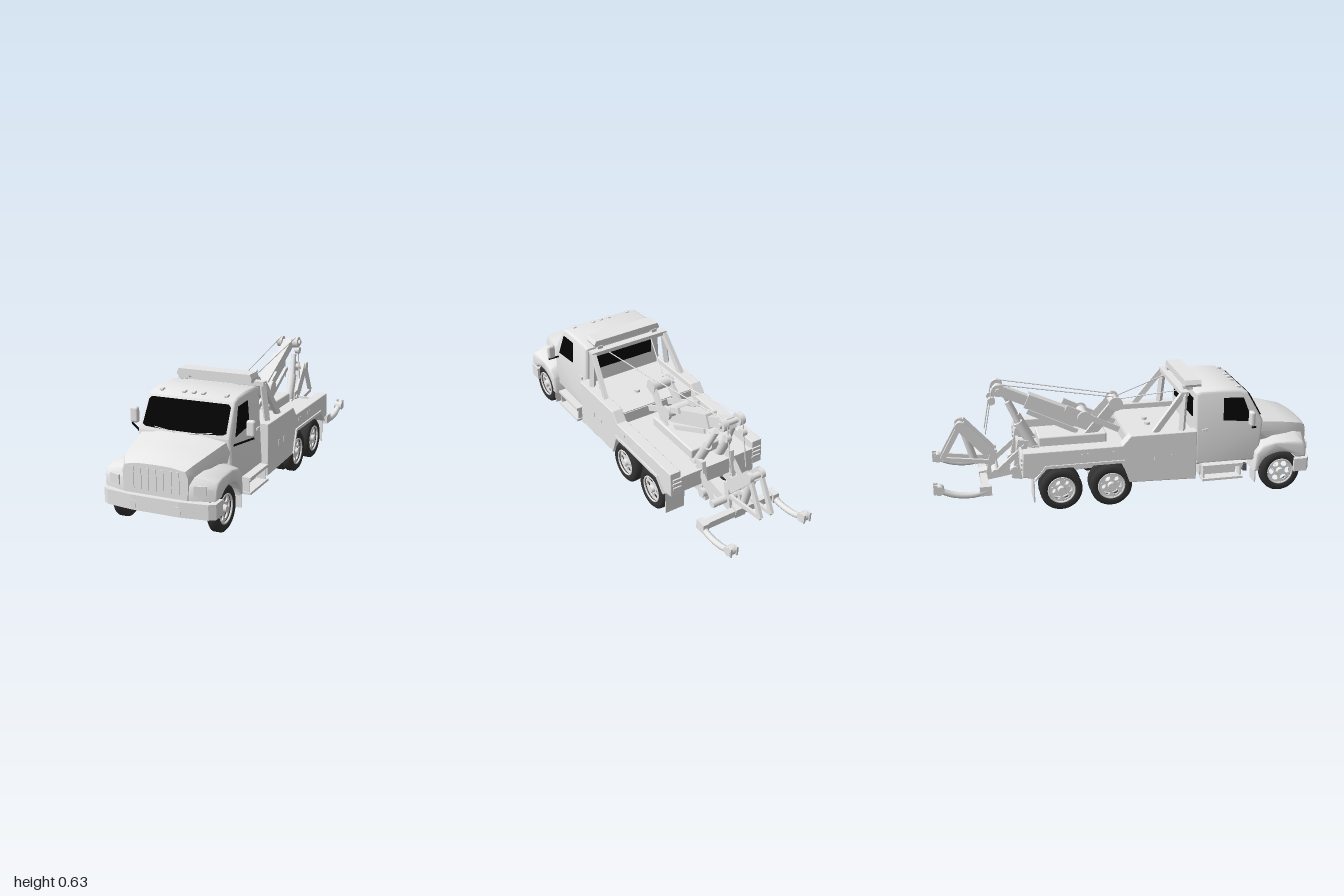
import * as THREE from 'three';
import { toCreasedNormals } from 'three/addons/utils/BufferGeometryUtils.js';
import { RoundedBoxGeometry } from 'three/addons/geometries/RoundedBoxGeometry.js';

export function createModel() {
  const root = new THREE.Group();
  root.name = 'towTruck';
  const material = (name, color) => {
    const m = new THREE.MeshStandardMaterial({ color });
    m.name = name;
    return m;
  };
  const paint = material('light grey', 0xefefef), dark = material('dark grey', 0x606060);
  const rubber = material('tyre grey', 0x333333), glass = material('window black', 0x030303);

  const V = (x, y, z) => new THREE.Vector3(x, y, z);
  const add = (name, geo, mat = paint, x = 0, y = 0, z = 0, parent = root) => {
    const m = new THREE.Mesh(geo, mat);
    m.name = name;
    m.position.set(x, y, z);
    parent.add(m);
    return m;
  };
  const box = (name, w, h, d, x, y, z, mat) => add(name, new THREE.BoxGeometry(w, h, d), mat, x, y, z);
  const soft = (name, w, h, d, x, y, z, r = 0.01) => add(name, new RoundedBoxGeometry(w, h, d, 3, r), paint, x, y, z);
  const both = fn => [1, -1].forEach(fn);
  // square bar between two points
  const beam = (name, a, b, w, h) => {
    const m = add(name, new THREE.BoxGeometry(w, h, a.distanceTo(b)));
    m.position.copy(a).add(b).multiplyScalar(0.5);
    m.lookAt(b);
    return m;
  };
  // round bar between two points
  const rod = (name, a, b, r, mat = paint, r2 = r) => {
    const m = add(name, new THREE.CylinderGeometry(r2, r, a.distanceTo(b), 16), mat);
    m.position.copy(a).add(b).multiplyScalar(0.5);
    m.quaternion.setFromUnitVectors(V(0, 1, 0), b.clone().sub(a).normalize());
    return m;
  };
  // cylinder lying across the truck
  const pin = (name, r, len, x, y, z) => rod(name, V(x - len / 2, y, z), V(x + len / 2, y, z), r);
  const shapeOf = pts => new THREE.Shape(pts.map(p => new THREE.Vector2(...p)));
  // side profile of (z, y) points given a width across x
  const side = (shape, width, bevel = 0) => {
    const g = new THREE.ExtrudeGeometry(shape, { depth: width - 2 * bevel, bevelEnabled: bevel > 0,
      bevelSize: bevel, bevelThickness: bevel, bevelOffset: -bevel, bevelSegments: 3, curveSegments: 20 });
    return g.translate(0, 0, bevel - width / 2).rotateY(-Math.PI / 2);
  };
  const bend = (geo, rule) => {
    const p = geo.attributes.position, v = V(0, 0, 0);
    for (let i = 0; i < p.count; i++) {
      rule(v.fromBufferAttribute(p, i));
      p.setXYZ(i, v.x, v.y, v.z);
    }
    return toCreasedNormals(geo, 0.6);
  };

  // Cab, narrowing towards the roof
  const cabHalf = y => 0.248 - Math.max(0, y - 0.3) * 0.075;
  const cab = side(shapeOf([[0.35, 0.18], [0.7, 0.18], [0.718, 0.4], [0.63, 0.555], [0.59, 0.572], [0.5, 0.578], [0.38, 0.576], [0.35, 0.565]]), 2, 0.014);
  add('cab', bend(cab, v => {
    const edge = 1 - Math.abs(v.x);
    v.x = Math.sign(v.x) * (cabHalf(v.y) - edge);
  }));

  // Hood lofted from half sections, each running from sill to centre line
  const sections = [
    [0.99, [0.16, 0.19, 0.165, 0.29, 0.15, 0.322, 0.08, 0.333, 0, 0.335]],
    [0.955, [0.18, 0.19, 0.182, 0.3, 0.172, 0.343, 0.09, 0.356, 0, 0.359]],
    [0.85, [0.2, 0.2, 0.212, 0.32, 0.197, 0.365, 0.1, 0.381, 0, 0.384]],
    [0.695, [0.2, 0.2, 0.24, 0.34, 0.225, 0.39, 0.12, 0.405, 0, 0.408]]];
  const pos = [], index = [], ring = 9;
  for (const [z, h] of sections) {
    for (let i = 0; i < 5; i++) pos.push(h[2 * i], h[2 * i + 1], z);
    for (let i = 3; i >= 0; i--) pos.push(-h[2 * i], h[2 * i + 1], z);
  }
  for (let s = 0; s < 3; s++) for (let i = 0; i < ring; i++) {
    const a = s * ring + i, b = s * ring + (i + 1) % ring;
    index.push(a, a + ring, b, b, a + ring, b + ring);
  }
  for (let i = 1; i < ring - 1; i++) index.push(0, i, i + 1);
  const hood = new THREE.BufferGeometry();
  hood.setAttribute('position', new THREE.Float32BufferAttribute(pos, 3));
  hood.setIndex(index);
  add('hood', toCreasedNormals(hood, 0.6));

  // Front fenders with wheel arches
  const fender = shapeOf([[0.99, 0.19], [0.99, 0.26], [0.965, 0.3], [0.91, 0.32], [0.78, 0.322], [0.71, 0.3], [0.675, 0.24], [0.665, 0.13], [0.69, 0.13]]);
  fender.absarc(0.82, 0.11, 0.13, Math.PI - 0.15, 0.66, true);
  both(s => {
    const g = side(fender, 0.13, 0.014).translate(s * 0.22, 0, 0);
    add('frontFender', bend(g, v => {
      const out = Math.abs(v.x) - 0.155;
      v.y -= Math.max(0, v.y - 0.2) * out * 2.4;
      if (v.z > 0.8) v.z -= out * 0.3 * (v.z - 0.8) / 0.19;
    }));
    box('headlight', 0.058, 0.046, 0.008, s * 0.215, 0.238, 0.975).rotation.y = s * 0.29;
    box('bumperLamp', 0.03, 0.034, 0.008, s * 0.112, 0.141, 0.998);
    box('frontBracket', 0.028, 0.04, 0.02, s * 0.107, 0.085, 0.674, dark);
    box('frontMudFlap', 0.075, 0.09, 0.006, s * 0.24, 0.11, 0.675);
  });

  // Bumper, swept back at the corners
  const bumper = shapeOf([[-0.284, 0.89], [-0.284, 0.96], [-0.255, 0.98], [-0.12, 0.999], [0.12, 0.999], [0.255, 0.98], [0.284, 0.96], [0.284, 0.89], [0.25, 0.89], [0.25, 0.945], [-0.25, 0.945], [-0.25, 0.89]]);
  const bumperGeo = new THREE.ExtrudeGeometry(bumper, { depth: 0.072, bevelEnabled: false });
  add('frontBumper', bumperGeo.rotateX(Math.PI / 2), paint, 0, 0.182, 0);
  box('bumperBacking', 0.3, 0.06, 0.06, 0, 0.19, 0.94);

  // Grille slots
  for (let i = -3; i <= 3; i++) box('grilleSlot', 0.014, 0.102, 0.008, i * 0.038, 0.264, 0.99);

  // Windows
  const pane = shapeOf([[-0.216, -0.062], [-0.2, -0.072], [-0.1, -0.077], [0.1, -0.077], [0.2, -0.072], [0.216, -0.062], [0.212, 0.062], [0.2, 0.075], [-0.2, 0.075], [-0.212, 0.062]]);
  const paneGeo = new THREE.ExtrudeGeometry(pane, { depth: 0.006, bevelEnabled: false });
  add('windshield', paneGeo, glass, 0, 0.478, 0.6755).rotation.x = -0.517;
  box('rearWindow', 0.36, 0.1, 0.006, 0, 0.48, 0.348, glass);
  const sidePane = shapeOf([[0.5, 0.415], [0.66, 0.4], [0.648, 0.425], [0.607, 0.53], [0.5, 0.535]]);
  both(s => {
    const g = side(sidePane, 0.006);
    add('sideWindow', bend(g, v => { v.x += s * cabHalf(v.y); }), glass);
    rod('wiper', V(s * 0.04, 0.409, 0.728), V(s * 0.15, 0.421, 0.716), 0.002);
    // Mirrors on their arms
    soft('mirror', 0.044, 0.08, 0.028, s * 0.307, 0.44, 0.63, 0.012);
    rod('mirrorArm', V(s * 0.235, 0.362, 0.68), V(s * 0.322, 0.396, 0.63), 0.005, glass);
    box('doorHandle', 0.008, 0.012, 0.03, s * 0.244, 0.37, 0.4);
    // Steps and tanks below the doors
    box('upperStep', 0.08, 0.015, 0.22, s * 0.25, 0.18, 0.49);
    box('lowerStep', 0.06, 0.012, 0.22, s * 0.262, 0.108, 0.49);
    box('sideTank', 0.1, 0.07, 0.2, s * 0.18, 0.145, 0.48);
    both(t => box('stepHanger', 0.05, 0.08, 0.008, s * 0.255, 0.142, 0.49 + t * 0.1));
  });
  for (const x of [-0.17, -0.05, 0, 0.05, 0.17]) soft('roofLamp', 0.02, 0.012, 0.026, x, 0.573, 0.595, 0.004);

  // Light bar on a frame behind the cab
  const bar = shapeOf([[-0.2, 0], [0.2, 0], [0.204, 0.012], [0.193, 0.034], [-0.193, 0.034], [-0.204, 0.012]]);
  add('lightBar', new THREE.ExtrudeGeometry(bar, { depth: 0.085, bevelEnabled: false }), paint, 0, 0.595, 0.3);
  box('frameTop', 0.47, 0.022, 0.04, 0, 0.57, 0.29);
  both(s => {
    box('lightBarBracket', 0.03, 0.022, 0.05, s * 0.17, 0.587, 0.32);
    beam('framePost', V(s * 0.222, 0.57, 0.29), V(s * 0.24, 0.37, 0.275), 0.026, 0.026);
    beam('frameBrace', V(s * 0.222, 0.565, 0.28), V(s * 0.24, 0.375, 0.13), 0.022, 0.03);
  });

  // Service body sides, deck and tail
  const bodySide = shapeOf([[0.348, 0.115], [0.348, 0.38], [0, 0.38], [-0.045, 0.33], [-0.55, 0.33], [-0.558, 0.2], [-0.5, 0.19],
    [-0.47, 0.215], [-0.44, 0.24], [-0.045, 0.24], [-0.015, 0.19], [0, 0.125]]);
  const lip = shapeOf([[0.005, 0.13], [-0.035, 0.255], [-0.44, 0.255], [-0.5, 0.18], [-0.49, 0.18], [-0.435, 0.24], [-0.045, 0.24], [-0.008, 0.13]]);
  both(s => {
    add('bodySide', side(bodySide, 0.06, 0.004), paint, s * 0.247);
    add('wheelArchLip', side(lip, 0.12), paint, s * 0.225);
    both(t => box('lockerHandle', 0.008, 0.028, 0.022, s * 0.275, 0.25, 0.17 + t * 0.035));
    for (const z of [-0.1, -0.24]) box('markerPlate', 0.008, 0.018, 0.04, s * 0.275, 0.295, z);
    for (const y of [0.24, 0.265, 0.29]) box('tailLamp', 0.05, 0.014, 0.008, s * 0.24, y, -0.558);
    box('rearMudFlap', 0.11, 0.16, 0.006, s * 0.215, 0.135, -0.5);
    rod('deckFitting', V(s * 0.04, 0.345, 0.14), V(s * 0.04, 0.363, 0.14), 0.016);
  });
  box('frontDeck', 0.45, 0.045, 0.35, 0, 0.327, 0.174);
  box('rearDeck', 0.45, 0.03, 0.55, 0, 0.27, -0.275);
  box('deckStep', 0.45, 0.07, 0.012, 0, 0.31, 0.0);
  box('tailBoard', 0.44, 0.09, 0.014, 0, 0.25, -0.55);
  box('bodyBulkhead', 0.45, 0.2, 0.012, 0, 0.22, 0.34);

  // Chassis, axles and drive line
  both(s => {
    box('chassisRail', 0.03, 0.055, 1.5, s * 0.085, 0.175, 0.18);
    for (const z of [0.82, -0.1, -0.36]) box('leafSpring', 0.03, 0.014, 0.2, s * 0.12, 0.13, z);
    rod('exhaust', V(s * 0.13, 0.14, 0.38), V(s * 0.13, 0.14, 0.06), 0.025);
  });
  for (const z of [0.65, 0.3, 0.05, -0.23, -0.5]) box('crossMember', 0.17, 0.04, 0.03, 0, 0.175, z);
  soft('engine', 0.13, 0.13, 0.3, 0, 0.17, 0.78, 0.02);
  rod('gearbox', V(0, 0.16, 0.64), V(0, 0.155, 0.42), 0.05, paint, 0.032);
  rod('driveShaft', V(0, 0.155, 0.45), V(0, 0.11, -0.36), 0.014);
  for (const z of [0.82, -0.1, -0.36]) {
    pin('axle', 0.016, 0.44, 0, z > 0 ? 0.095 : 0.11, z);
    if (z < 0) add('differential', new THREE.SphereGeometry(0.048, 20, 12), paint, 0, 0.11, z);
  }

  // Wheels: tyre, pierced rim and hub
  const wheel = (x, z, s, w = 0.053) => {
    const g = new THREE.Group();
    g.name = 'wheel';
    g.position.set(x, 0.11, z);
    g.rotation.y = s > 0 ? 0 : Math.PI;
    root.add(g);
    const h = w / 2;
    const section = [[0.068, -h * 0.8], [0.08, -h], [0.098, -h], [0.109, -h * 0.65], [0.11, 0], [0.109, h * 0.65], [0.098, h], [0.08, h], [0.068, h * 0.8], [0.065, 0], [0.068, -h * 0.8]];
    const tyre = new THREE.LatheGeometry(section.map(p => new THREE.Vector2(...p)), 36);
    add('tyre', tyre.rotateZ(-Math.PI / 2), rubber, 0, 0, 0, g);
    const disc = new THREE.Shape().absarc(0, 0, 0.068, 0, Math.PI * 2);
    for (let i = 0; i < 6; i++) {
      const a = i * Math.PI / 3;
      disc.holes.push(new THREE.Path().absellipse(Math.cos(a) * 0.044, Math.sin(a) * 0.044, 0.014, 0.017, 0, Math.PI * 2, true, a));
    }
    add('rimDisc', side(disc, 0.008), paint, 0.008, 0, 0, g);
    add('rimEdge', new THREE.TorusGeometry(0.068, 0.005, 8, 32).rotateY(Math.PI / 2), paint, h * 0.8, 0, 0, g);
    add('hub', new THREE.CylinderGeometry(0.016, 0.024, 0.03, 18).rotateZ(-Math.PI / 2), paint, 0.014, 0, 0, g);
  };
  both(s => {
    wheel(s * 0.243, 0.82, s);
    for (const z of [-0.1, -0.36]) {
      wheel(s * 0.243, z, s);
      wheel(s * 0.182, z, s);
    }
  });

  // Boom with its mast, winches and rams
  soft('boomPedestal', 0.17, 0.06, 0.36, 0, 0.305, -0.27, 0.008);
  beam('boomOuter', V(0, 0.365, -0.16), V(0, 0.52, -0.5), 0.065, 0.075);
  beam('boomInner', V(0, 0.49, -0.44), V(0, 0.59, -0.65), 0.048, 0.052);
  pin('boomHeadShaft', 0.014, 0.15, 0, 0.595, -0.645);
  const winch = (y, z, r, len) => {
    pin('winchDrum', r * 0.75, len, 0, y, z);
    both(s => pin('winchFlange', r, 0.014, s * len / 2, y, z));
  };
  winch(0.48, -0.035, 0.038, 0.11);
  winch(0.42, -0.205, 0.038, 0.15);
  both(s => {
    pin('boomSheave', 0.032, 0.03, s * 0.048, 0.595, -0.645);
    pin('lowerSheave', 0.02, 0.025, s * 0.045, 0.54, -0.68);
    beam('mastPlate', V(s * 0.048, 0.5, -0.02), V(s * 0.065, 0.29, -0.21), 0.014, 0.055);
    beam('mastStay', V(s * 0.06, 0.34, -0.02), V(s * 0.06, 0.48, -0.3), 0.014, 0.03);
    beam('boomRib', V(s * 0.045, 0.34, -0.24), V(s * 0.045, 0.47, -0.5), 0.012, 0.025);
    rod('ramBody', V(s * 0.07, 0.25, -0.46), V(s * 0.062, 0.42, -0.55), 0.024);
    rod('ramPiston', V(s * 0.062, 0.42, -0.55), V(s * 0.05, 0.53, -0.6), 0.015);
    pin('ramPivot', 0.03, 0.05, s * 0.07, 0.265, -0.47);
    rod('rearCable', V(s * 0.03, 0.51, -0.03), V(s * 0.045, 0.624, -0.64), 0.003);
    rod('hangingCable', V(s * 0.045, 0.6, -0.675), V(s * 0.045, 0.36, -0.72), 0.003);
    rod('frontCable', V(s * 0.03, 0.5, -0.01), V(s * 0.14, 0.565, 0.29), 0.003);

    // Tail links carrying the wheel lift
    beam('tailPost', V(s * 0.085, 0.33, -0.53), V(s * 0.085, 0.12, -0.57), 0.022, 0.055);
    beam('tailLink', V(s * 0.095, 0.3, -0.52), V(s * 0.1, 0.15, -0.69), 0.016, 0.026);
    pin('tailPivot', 0.024, 0.05, s * 0.09, 0.17, -0.58);

    // Upright folded frame
    beam('foldedArm', V(s * 0.032, 0.415, -0.845), V(s * 0.032, 0.25, -0.7), 0.016, 0.06);
    beam('foldedStay', V(s * 0.032, 0.415, -0.845), V(s * 0.032, 0.235, -0.945), 0.016, 0.026);
    beam('foldedFoot', V(s * 0.032, 0.235, -0.945), V(s * 0.032, 0.2, -0.69), 0.014, 0.022);
    beam('foldedPost', V(s * 0.032, 0.27, -0.68), V(s * 0.032, 0.12, -0.71), 0.016, 0.035);
    pin('foldedHinge', 0.026, 0.022, s * 0.034, 0.408, -0.845);

    // Wheel lift arms with forked ends
    const path = new THREE.CatmullRomCurve3([V(s * 0.215, 0.125, -0.72), V(s * 0.217, 0.105, -0.8), V(s * 0.218, 0.115, -0.9), V(s * 0.218, 0.15, -0.98)]);
    add('liftArm', new THREE.TubeGeometry(path, 16, 0.016, 10));
    box('armSocket', 0.034, 0.05, 0.06, s * 0.213, 0.122, -0.74);
    pin('forkBoss', 0.024, 0.045, s * 0.218, 0.148, -0.97);
    both(t => box('forkTine', 0.01, 0.05, 0.022, s * 0.218 + t * 0.017, 0.155, -0.988));
  });
  rod('foldedRam', V(0, 0.38, -0.83), V(0, 0.2, -0.78), 0.02);
  pin('foldedTop', 0.016, 0.08, 0, 0.405, -0.845);
  beam('stinger', V(0, 0.16, -0.5), V(0, 0.12, -0.76), 0.06, 0.055);
  box('liftCrossbar', 0.44, 0.036, 0.036, 0, 0.122, -0.74);
  pin('tailCrossTube', 0.02, 0.24, 0, 0.17, -0.68);

  return root;
}
